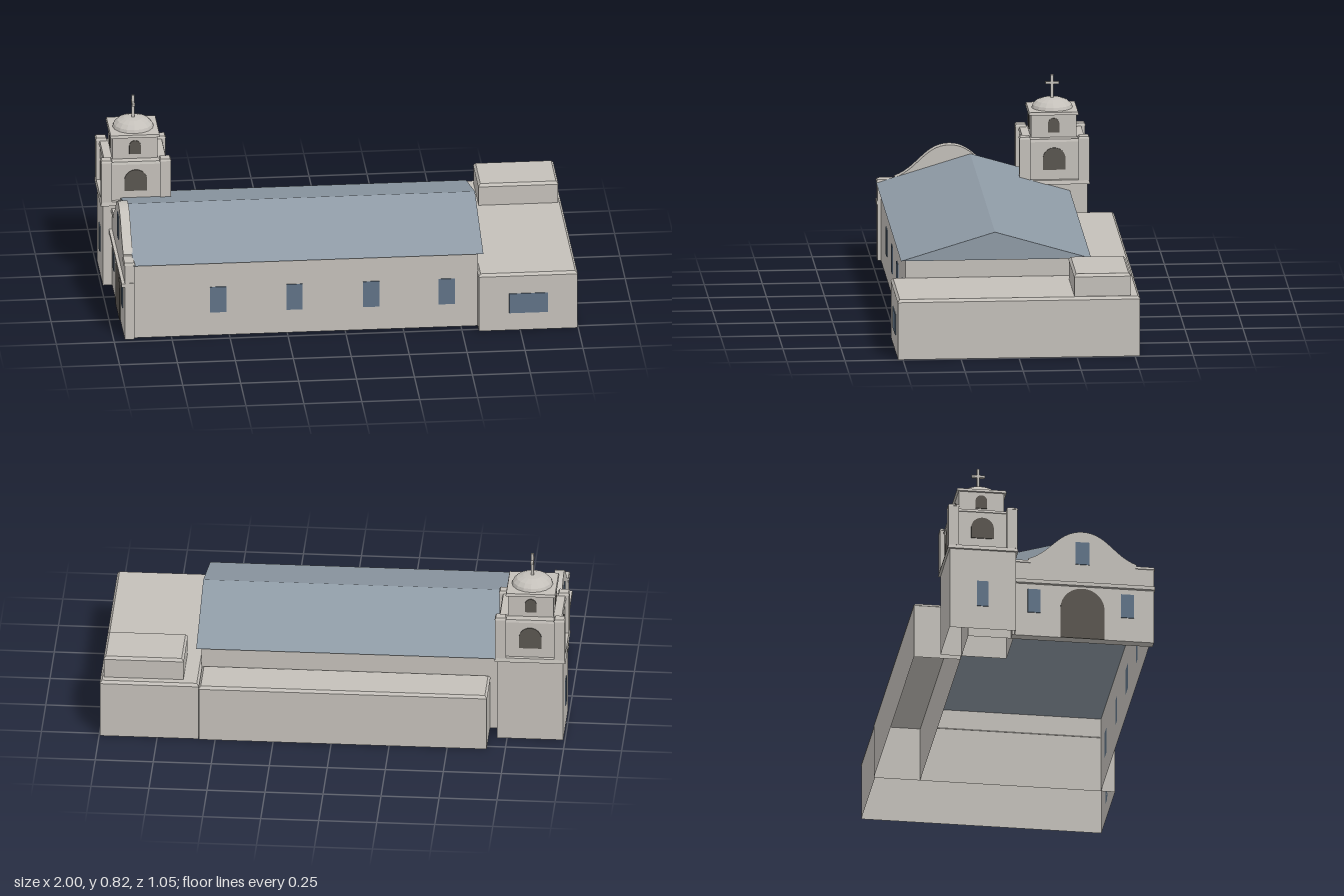
import * as THREE from 'three';

export function createModel() {
  const model = new THREE.Group();
  const material = (name, color) => {
    const m = new THREE.MeshStandardMaterial({ color, side: THREE.DoubleSide });
    m.name = name;
    return m;
  };
  const plaster = material('plaster', 0xc4c0ba);
  const roofing = material('roofing', 0x8f9ba6);
  const glass = material('glass', 0x607387);
  const shade = material('shade', 0x5a5650);

  const add = (name, geometry, mat = plaster, parent = model) => {
    const mesh = new THREE.Mesh(geometry, mat);
    mesh.name = name;
    parent.add(mesh);
    return mesh;
  };

  // Box given by its limits; taper pulls the top edges inward
  const block = (x0, x1, y0, y1, z0, z1, taper = 0) => {
    const w = x1 - x0, d = z1 - z0;
    const g = new THREE.BoxGeometry(w, y1 - y0, d);
    const p = g.attributes.position;
    for (let i = 0; i < p.count; i++) {
      if (p.getY(i) > 0) {
        p.setX(i, p.getX(i) * (1 - 2 * taper / w));
        p.setZ(i, p.getZ(i) * (1 - 2 * taper / d));
      }
    }
    g.computeVertexNormals();
    return g.translate((x0 + x1) / 2, (y0 + y1) / 2, (z0 + z1) / 2);
  };

  // Hollow walls, open underneath and optionally on top
  const shell = (x0, x1, y0, y1, z0, z1, open = false) => {
    const g = block(x0, x1, y0, y1, z0, z1);
    const index = Array.from(g.index.array);
    g.setIndex(index.filter((_, i) => !((i >= 18 && i < 24) || (open && i >= 12 && i < 18))));
    g.clearGroups();
    return g;
  };

  // Flat-roofed wing with a bevelled coping
  const wing = (name, x0, x1, y0, y1, z0, z1) => {
    const group = new THREE.Group();
    group.name = name;
    add(name + 'Walls', shell(x0, x1, y0, y1 - 0.012, z0, z1), plaster, group);
    add(name + 'Coping', block(x0 - 0.002, x1 + 0.002, y1 - 0.012, y1, z0 - 0.002, z1 + 0.002, 0.01), plaster, group);
    model.add(group);
  };

  // Outline in z and y, extruded from x1 towards -x
  const profile = (shape, x1, depth) =>
    new THREE.ExtrudeGeometry(shape, { depth, bevelEnabled: false, curveSegments: 14 })
      .rotateY(-Math.PI / 2).translate(x1, 0, 0);

  // Thin plate with its base at the given point, turned to face angle ry
  const plate = (name, w, h, arched, x, y, z, ry, mat) => {
    const s = new THREE.Shape();
    const r = w / 2;
    s.moveTo(-r, 0);
    s.lineTo(r, 0);
    if (arched) {
      s.lineTo(r, h - r);
      s.absarc(0, h - r, r, 0, Math.PI, false);
    } else {
      s.lineTo(r, h);
      s.lineTo(-r, h);
    }
    const g = new THREE.ExtrudeGeometry(s, { depth: 0.004, bevelEnabled: false, curveSegments: 12 });
    const mesh = add(name, g, mat);
    mesh.position.set(x, y, z);
    mesh.rotation.y = ry;
  };
  const WEST = -Math.PI / 2;

  // Nave and its gabled roof
  add('naveWalls', shell(-0.912, 0.573, 0, 0.343, -0.325, 0.46, true));
  const gable = new THREE.Shape();
  gable.moveTo(-0.34, 0.342);
  gable.lineTo(0.48, 0.342);
  gable.lineTo(0.075, 0.464);
  gable.closePath();
  add('naveRoof', profile(gable, 0.595, 1.51), roofing);
  for (const x of [-0.548, -0.219, 0.112, 0.438]) {
    plate('naveWindow', 0.07, 0.118, false, x, 0.107, 0.46, 0, glass);
  }

  // Flat-roofed wings
  wing('backAisle', -0.67, 0.57, 0, 0.255, -0.526, -0.325);
  wing('endWing', 0.572, 0.996, 0, 0.264, -0.521, 0.521);
  wing('roofBox', 0.64, 0.982, 0.26, 0.362, -0.482, -0.24);
  plate('wingWindow', 0.167, 0.09, false, 0.786, 0.08, 0.521, 0, glass);

  // Facade with a curved gable
  const front = new THREE.Shape();
  front.moveTo(-0.14, 0);
  front.lineTo(0.475, 0);
  front.lineTo(0.475, 0.345);
  front.lineTo(0.4, 0.345);
  front.lineTo(0.4, 0.365);
  front.bezierCurveTo(0.3, 0.4, 0.27, 0.505, 0.165, 0.505);
  front.bezierCurveTo(0.06, 0.505, 0.03, 0.4, -0.07, 0.365);
  front.lineTo(-0.07, 0.345);
  front.lineTo(-0.14, 0.345);
  add('facade', profile(front, -0.91, 0.042));
  add('facadeLedge', block(-0.966, -0.915, 0.245, 0.262, -0.13, 0.479));
  for (const [z0, z1] of [[0.395, 0.479], [-0.14, -0.06]]) {
    add('shoulderCap', block(-0.957, -0.907, 0.345, 0.357, z0, z1, 0.004));
  }
  plate('door', 0.19, 0.235, true, -0.952, 0, 0.165, WEST, shade);
  plate('facadeWindow', 0.055, 0.11, false, -0.952, 0.11, -0.045, WEST, glass);
  plate('facadeWindow', 0.055, 0.11, false, -0.952, 0.11, 0.36, WEST, glass);
  plate('gableWindow', 0.06, 0.105, false, -0.952, 0.35, 0.165, WEST, glass);

  // Bell tower, stacked on one axis
  const cx = -0.849, cz = -0.273;
  const tier = (name, half, y0, y1, taper = 0) =>
    add(name, block(cx - half, cx + half, y0, y1, cz - half, cz + half, taper));
  add('towerBase', shell(cx - 0.143, cx + 0.143, 0, 0.374, cz - 0.143, cz + 0.143));
  tier('towerCornice', 0.153, 0.372, 0.39, 0.004);
  tier('belfry', 0.132, 0.39, 0.556);
  tier('belfryLedge', 0.137, 0.556, 0.568, 0.004);
  tier('upperBelfry', 0.098, 0.568, 0.667);
  tier('upperCornice', 0.108, 0.667, 0.679, 0.003);
  plate('towerWindow', 0.05, 0.118, false, cx - 0.143, 0.107, cz, WEST, glass);
  for (const sx of [-1, 1]) {
    for (const sz of [-1, 1]) {
      const x = cx + sx * 0.127, z = cz + sz * 0.127;
      add('cornerPier', block(x - 0.023, x + 0.023, 0.388, 0.572, z - 0.023, z + 0.023));
      add('pierCap', block(x - 0.025, x + 0.025, 0.572, 0.581, z - 0.025, z + 0.025, 0.005));
    }
  }
  for (let i = 0; i < 4; i++) {
    const a = i * Math.PI / 2, sx = Math.sin(a), sz = Math.cos(a);
    plate('bellArch', 0.098, 0.097, true, cx + sx * 0.132, 0.433, cz + sz * 0.132, a, shade);
    plate('upperArch', 0.05, 0.062, true, cx + sx * 0.098, 0.59, cz + sz * 0.098, a, shade);
  }

  // Faceted dome and cross
  const points = [[0.089, 0], [0.084, 0.015], [0.068, 0.031], [0.04, 0.041], [0, 0.045]]
    .map(([r, y]) => new THREE.Vector2(r, y));
  const dome = new THREE.LatheGeometry(points, 16).toNonIndexed();
  dome.computeVertexNormals();
  add('dome', dome.translate(cx, 0.678, cz));
  add('crossPost', block(cx - 0.006, cx + 0.006, 0.715, 0.822, cz - 0.006, cz + 0.006));
  add('crossArm', block(cx - 0.006, cx + 0.006, 0.781, 0.792, cz - 0.029, cz + 0.029));

  return model;
}
